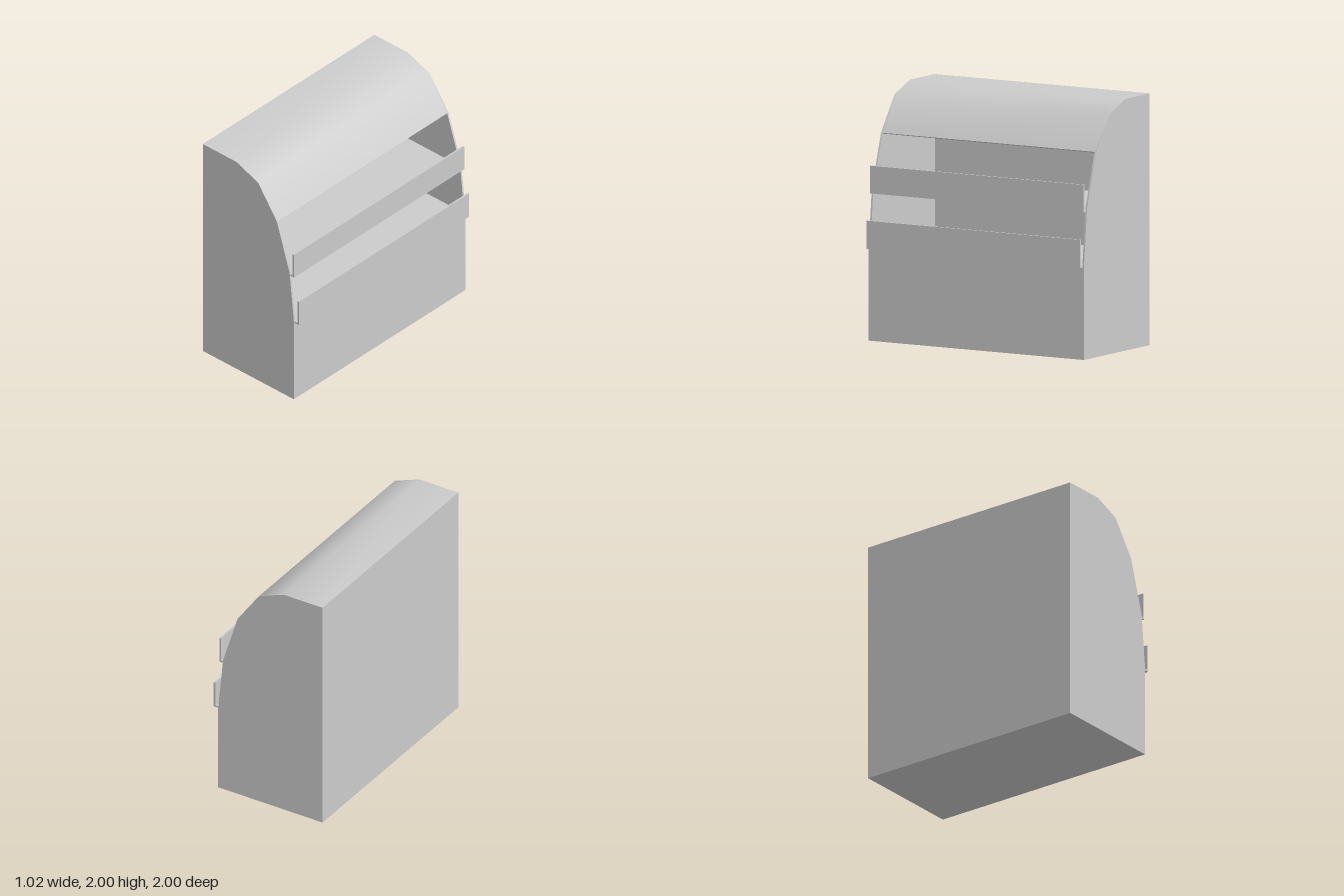
import * as THREE from 'three';
import { toCreasedNormals } from 'three/addons/utils/BufferGeometryUtils.js';

const SIDE = 0.015; // panel thickness
const grey = new THREE.MeshStandardMaterial({ color: 0xcccccc });

// Extrudes an x-y outline along z, centred on the given z
function slab(name, points, depth, z = 0) {
  const shape = new THREE.Shape(points.map(([x, y]) => new THREE.Vector2(x, y)));
  const geometry = new THREE.ExtrudeGeometry(shape, { depth, bevelEnabled: false });
  geometry.translate(0, 0, z - depth / 2);
  const mesh = new THREE.Mesh(toCreasedNormals(geometry, Math.PI / 4), grey);
  mesh.name = name;
  return mesh;
}

export function createModel() {
  const model = new THREE.Group();
  model.name = 'displayCabinet';

  // Side panels with the full curved profile
  const profile = [
    [-0.51, 0], [0.46, 0], [0.46, 0.75], [0.415, 1.2],
    [0.28, 1.63], [0.08, 1.91], [-0.15, 2], [-0.51, 2],
  ];
  for (const s of [1, -1]) {
    model.add(slab(s > 0 ? 'leftSidePanel' : 'rightSidePanel', profile, SIDE, s * (1 - SIDE / 2)));
  }

  // Hollow body: front apron, floor, back wall and hood in one thin wrap
  model.add(slab('bodyShell', [
    [0.46, 0.75], [0.445, 0.75], [0.445, 0.015], [-0.495, 0.015],
    [-0.495, 1.985], [-0.153, 1.985], [0.071, 1.897], [0.266, 1.622],
    [0.28, 1.63], [0.08, 1.91], [-0.15, 2], [-0.51, 2],
    [-0.51, 0], [0.46, 0],
  ], 2 - 2 * SIDE));

  // Shelves with an upright front lip
  const shelves = [
    { name: 'lowerShelf', y: 0.735, front: 0.507, top: 0.96 },
    { name: 'upperShelf', y: 1.17, front: 0.455, top: 1.39 },
  ];
  for (const { name, y, front, top } of shelves) {
    model.add(slab(name, [
      [-0.5, y], [front, y], [front, top], [front - SIDE, top],
      [front - SIDE, y + SIDE], [-0.5, y + SIDE],
    ], 1.986));
  }

  return model;
}
